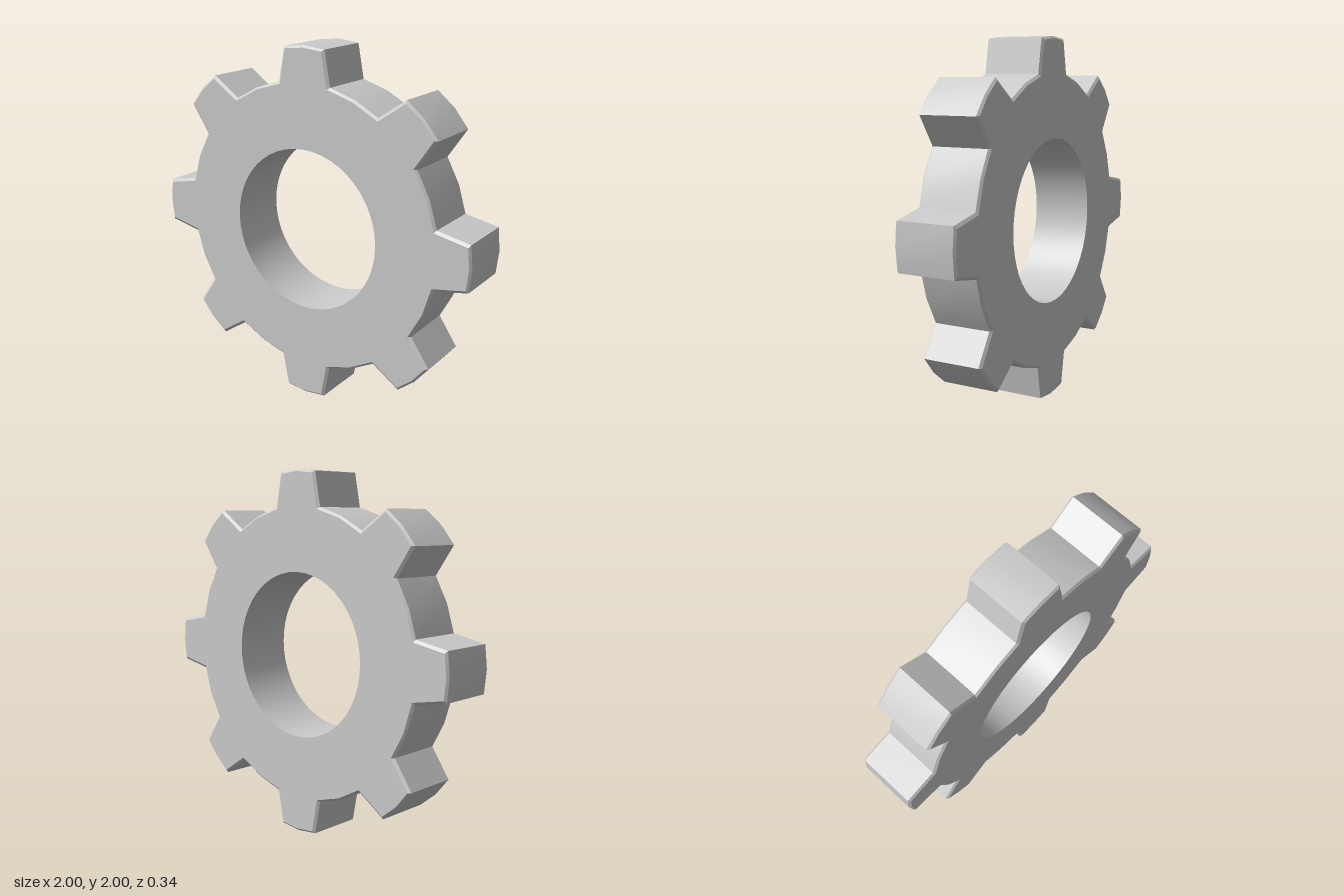
import * as THREE from 'three';
import { toCreasedNormals } from 'three/addons/utils/BufferGeometryUtils.js';

const TEETH = 8, HALF = 0.17, BEVEL = 0.012;
const HOLE_R = 0.455, ROOT_R = 0.815, TIP_R = 0.995;

// Repeats one tooth's [degrees, radius] points around the gear
function ring(tooth, z) {
  const points = [];
  for (let t = 0; t < TEETH; t++) {
    for (const [deg, r] of tooth) {
      const a = THREE.MathUtils.degToRad(deg + t * 360 / TEETH);
      points.push([r * Math.cos(a), r * Math.sin(a), z]);
    }
  }
  return points;
}

// Toothed outline, drawn in by the given distance
function outline(inset, z) {
  const root = 11.5 - THREE.MathUtils.radToDeg(inset / ROOT_R);
  const tip = 7.3 - THREE.MathUtils.radToDeg(inset / TIP_R);
  const rr = ROOT_R - inset, tr = TIP_R - inset;
  return ring([[-root, rr], [-tip, tr], [0, 1 - inset], [tip, tr], [root, rr], [22.5, rr]], z);
}

// Round bore with the same number of points per tooth
function bore(z) {
  return ring([-15, -7.5, 0, 7.5, 15, 22.5].map(deg => [deg, HOLE_R]), z);
}

export function createModel() {
  // Closed loft: front face, front bevel, toothed rim, back bevel, back face, bore
  const rings = [
    bore(HALF), outline(BEVEL, HALF), outline(0, HALF - BEVEL),
    outline(0, -HALF + BEVEL), outline(BEVEL, -HALF), bore(-HALF),
  ];
  const n = rings[0].length;
  const index = [];
  for (let j = 0; j < rings.length; j++) {
    const k = (j + 1) % rings.length;
    for (let i = 0; i < n; i++) {
      const m = (i + 1) % n;
      const a = j * n + i, b = k * n + i, c = k * n + m, d = j * n + m;
      index.push(a, b, c, a, c, d);
    }
  }
  const geometry = new THREE.BufferGeometry();
  geometry.setAttribute('position', new THREE.Float32BufferAttribute(rings.flat(2), 3));
  geometry.setIndex(index);

  const gear = new THREE.Mesh(
    toCreasedNormals(geometry, 0.45),
    new THREE.MeshStandardMaterial({ color: 0xcccccc })
  );
  gear.name = 'gearWheel';
  gear.position.y = 1;

  const group = new THREE.Group();
  group.name = 'gear';
  group.add(gear);
  return group;
}
